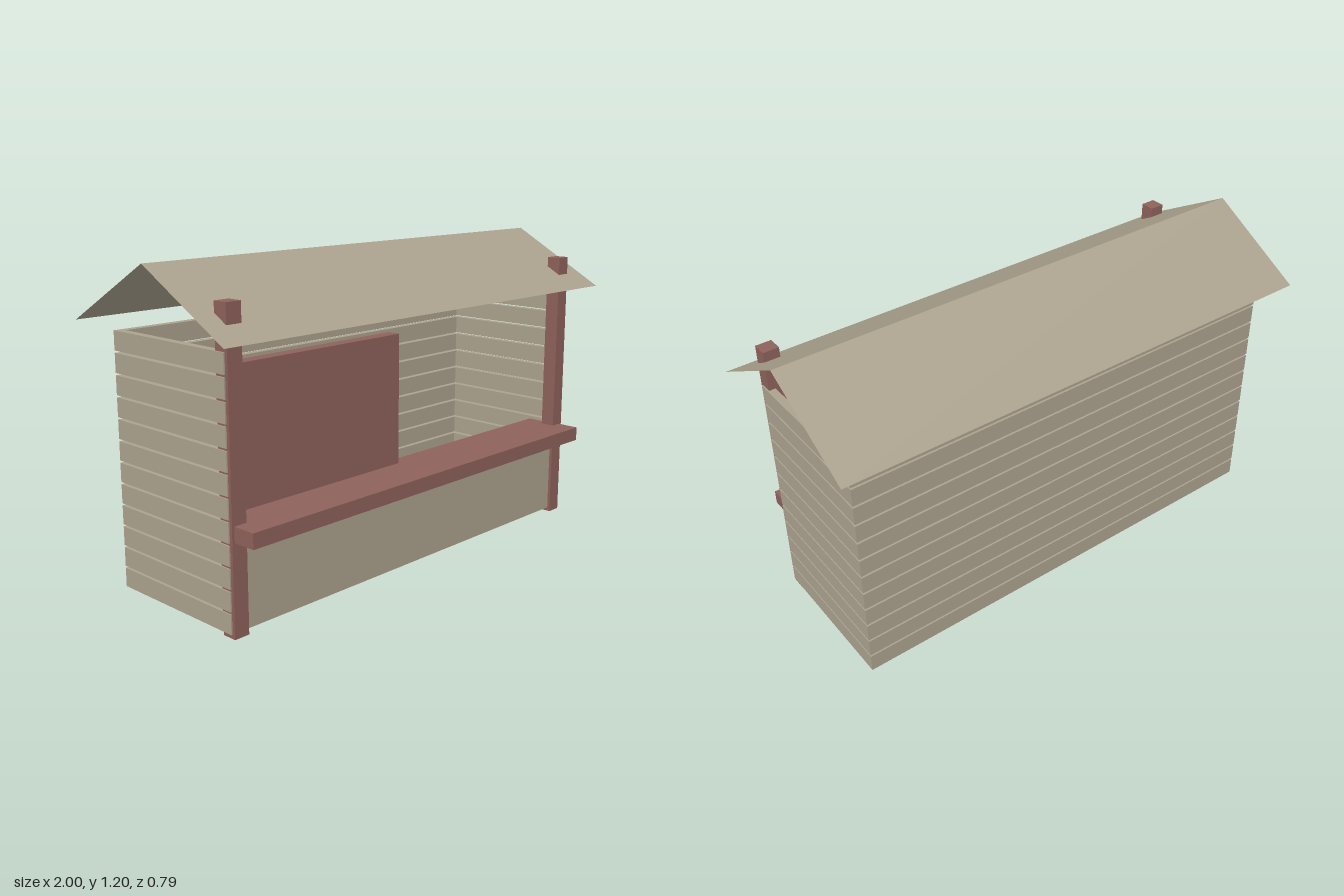
import * as THREE from 'three';

export function createModel() {
  const model = new THREE.Group();
  model.name = 'marketStall';

  const tan = new THREE.MeshStandardMaterial({ color: 0xaba28e });
  tan.name = 'weatheredTan';
  tan.side = THREE.DoubleSide;
  const brown = new THREE.MeshStandardMaterial({ color: 0x8e625b });
  brown.name = 'redBrownWood';

  // Box given by its minimum and maximum on each axis
  function box(name, material, [x0, x1], [y0, y1], [z0, z1], parent = model) {
    const mesh = new THREE.Mesh(new THREE.BoxGeometry(x1 - x0, y1 - y0, z1 - z0), material);
    mesh.position.set((x0 + x1) / 2, (y0 + y1) / 2, (z0 + z1) / 2);
    mesh.name = name;
    parent.add(mesh);
    return mesh;
  }

  const halfW = 0.92, halfD = 0.293, wall = 0.03;

  // Plank walls: two sides and the back, with see-through gaps
  const walls = new THREE.Group();
  walls.name = 'plankWalls';
  model.add(walls);
  for (let i = 0; i < 12; i++) {
    const y = 0.015 + i * 0.0782;
    const span = [y, y + 0.07];
    box('leftPlank', tan, [halfW - wall, halfW], span, [-halfD, halfD], walls);
    box('rightPlank', tan, [-halfW, -halfW + wall], span, [-halfD, halfD], walls);
    box('backPlank', tan, [-halfW + wall, halfW - wall], span, [-halfD, -halfD + wall], walls);
  }

  // Solid board below the counter
  box('frontPanel', tan, [-halfW + wall, halfW - wall], [0.015, 0.305], [halfD - wall, halfD]);

  // Corner posts that poke through the roof
  for (const s of [-1, 1]) {
    const x = s * 0.885;
    box(s > 0 ? 'leftPost' : 'rightPost', brown, [x - 0.03, x + 0.03], [0, 1.1], [0.248, 0.305]);
  }

  // Counter and sliding shutter
  box('counter', brown, [-0.905, 0.9], [0.33, 0.385], [0.16, 0.395]);
  box('shutter', brown, [-0.81, -0.06], [0.4, 0.89], [0.19, 0.24]);

  // Gable roof of two thin sheets
  const eave = 0.395, ridgeY = 1.2, eaveY = 0.98;
  const slope = Math.hypot(eave, ridgeY - eaveY);
  for (const s of [-1, 1]) {
    const sheet = new THREE.Mesh(new THREE.PlaneGeometry(2, slope), tan);
    sheet.rotation.order = 'YXZ';
    sheet.rotation.y = s > 0 ? 0 : Math.PI;
    sheet.rotation.x = -Math.atan2(eave, ridgeY - eaveY);
    sheet.position.set(0, (ridgeY + eaveY) / 2, (s * eave) / 2);
    sheet.name = s > 0 ? 'frontRoof' : 'backRoof';
    model.add(sheet);
  }

  return model;
}
